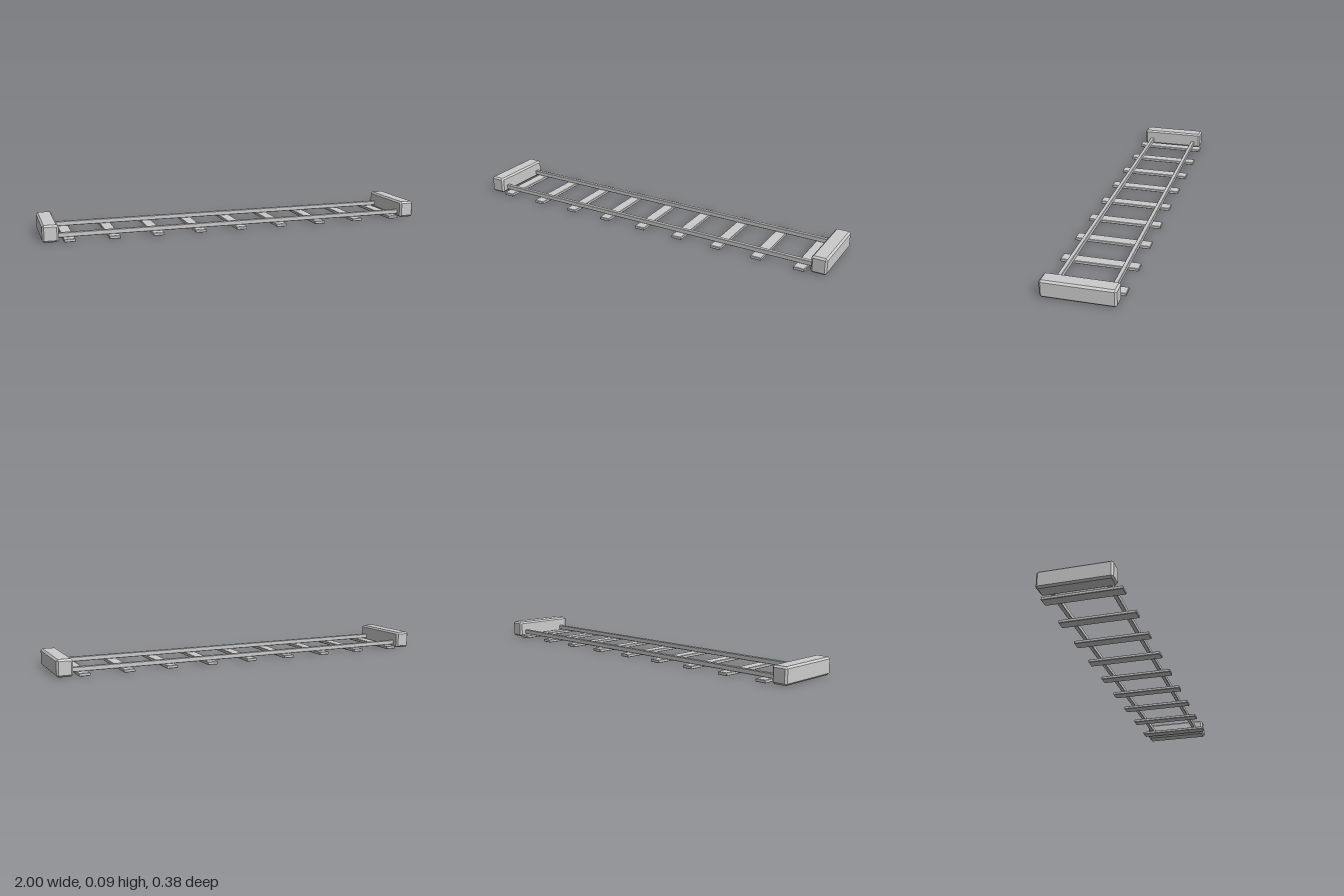
import * as THREE from 'three';
import { ConvexGeometry } from 'three/addons/geometries/ConvexGeometry.js';

const material = new THREE.MeshStandardMaterial({ color: 0xcccccc, flatShading: true });

// Box with every edge cut by a flat chamfer c
function chamferBox(w, h, d, c) {
  const half = [w / 2, h / 2, d / 2];
  const points = [];
  for (const sx of [-1, 1]) for (const sy of [-1, 1]) for (const sz of [-1, 1]) {
    for (let axis = 0; axis < 3; axis++) {
      const p = half.map((v, i) => (i === axis ? v : v - c));
      points.push(new THREE.Vector3(sx * p[0], sy * p[1], sz * p[2]));
    }
  }
  return new ConvexGeometry(points);
}

function add(group, name, geometry, x, y, z) {
  const mesh = new THREE.Mesh(geometry, material);
  mesh.name = name;
  mesh.position.set(x, y, z);
  group.add(mesh);
}

export function createModel() {
  const track = new THREE.Group();
  track.name = 'railTrack';
  const base = 0.008;

  // Sleepers, evenly spaced under the rails
  const sleeper = chamferBox(0.055, 0.015, 0.375, 0.002);
  for (let i = -4; i <= 4; i++) add(track, 'sleeper', sleeper, i * 0.2175, base + 0.0075, 0);

  // Two rails running between the end blocks
  const rail = chamferBox(1.88, 0.023, 0.02, 0.002);
  for (const side of [-1, 1]) add(track, 'rail', rail, 0, 0.034, side * 0.13);

  // Chamfered buffer block at each end
  const block = chamferBox(0.078, 0.085, 0.348, 0.009);
  for (const side of [-1, 1]) add(track, 'endBlock', block, side * 0.959, base + 0.0425, 0);

  return track;
}
